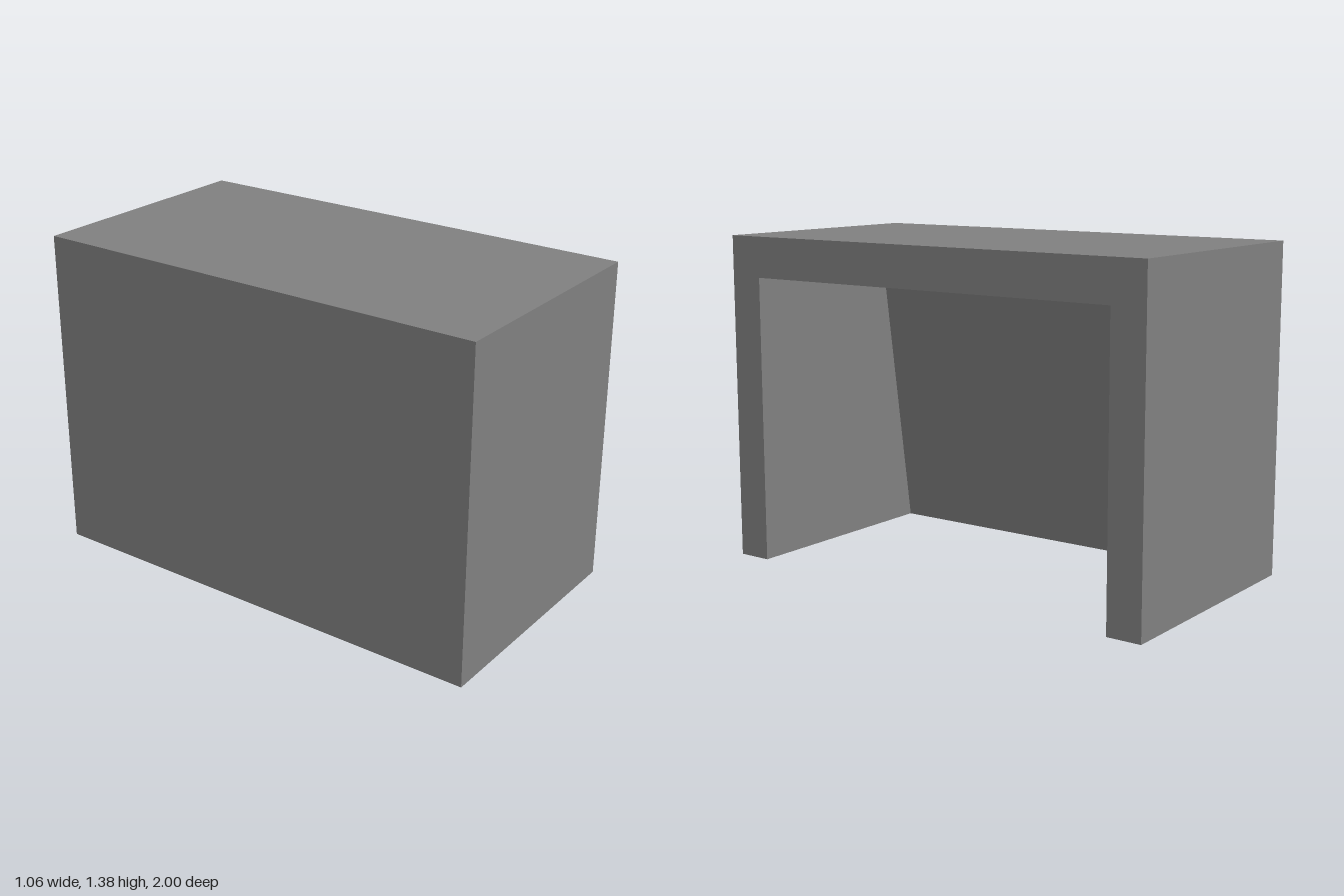
import * as THREE from 'three';

const W = 0.529, H = 1.377, D = 1;      // half width, height, half depth
const openZ = 0.853, openY = 1.207;     // opening half depth and height

function extrude(points, depth) {
  const shape = new THREE.Shape(points.map(([x, y]) => new THREE.Vector2(x, y)));
  return new THREE.ExtrudeGeometry(shape, { depth, bevelEnabled: false })
    .translate(0, 0, -depth / 2);
}

export function createModel() {
  const group = new THREE.Group();
  group.name = 'hollowBlock';
  const grey = new THREE.MeshStandardMaterial({ color: 0x808080 });
  grey.name = 'grey';

  // Arch of two side walls and a roof, running across x
  const arch = new THREE.Mesh(extrude([
    [-D, 0], [-openZ, 0], [-openZ, openY], [openZ, openY],
    [openZ, 0], [D, 0], [D, H], [-D, H],
  ], 2 * W).rotateY(Math.PI / 2), grey);
  arch.name = 'archFrame';

  // Panel closing the -x side, thicker toward the roof
  const panel = new THREE.Mesh(extrude([
    [-W, 0], [-0.44, 0], [-0.264, openY], [-W, openY],
  ], 2 * openZ), grey);
  panel.name = 'slopedPanel';

  group.add(arch, panel);
  return group;
}
